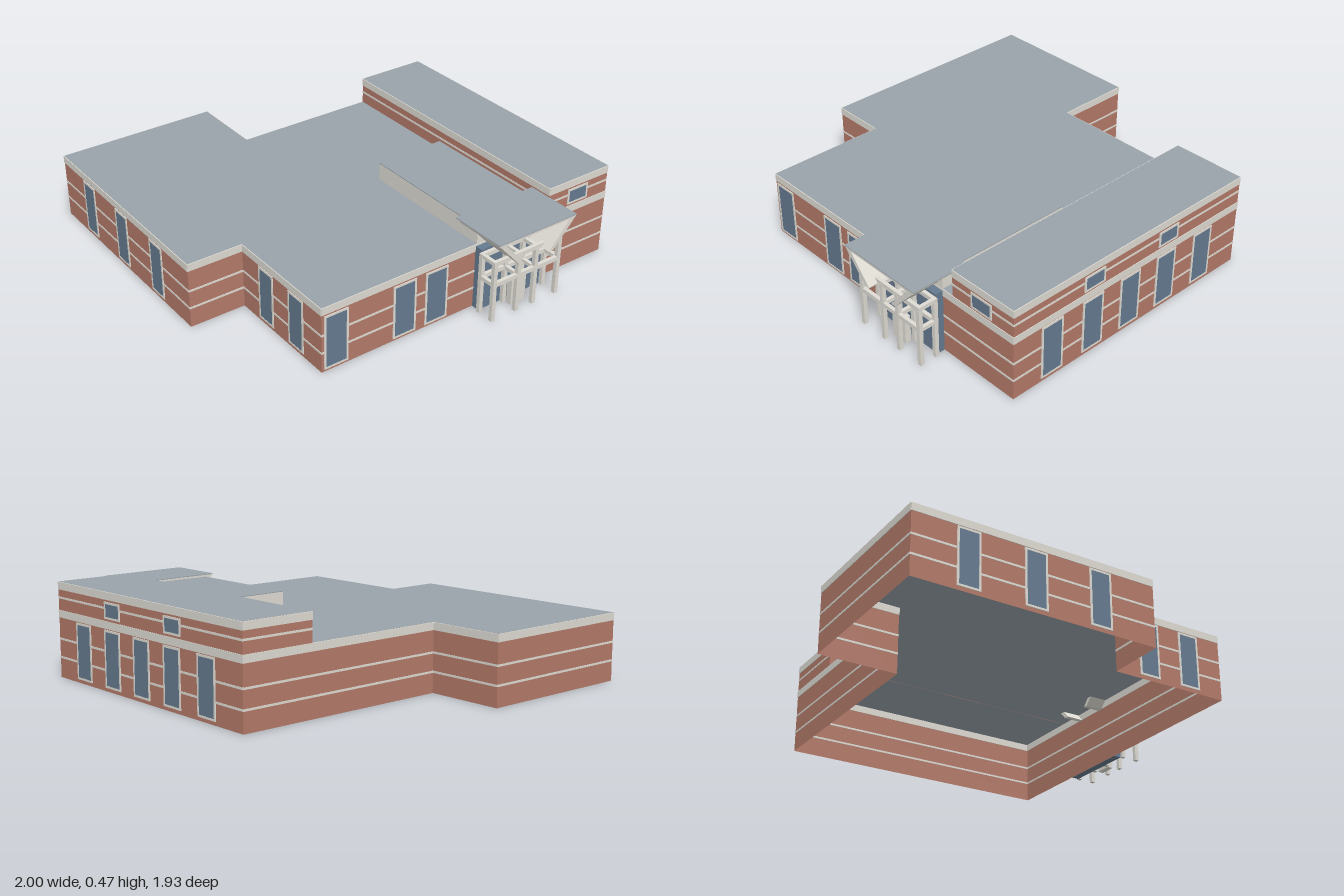
import * as THREE from 'three';

const mat = (name, color, side = THREE.FrontSide) => {
  const m = new THREE.MeshStandardMaterial({ color, side });
  m.name = name;
  return m;
};

export function createModel() {
  const brick = mat('brick', 0xb37a69, THREE.DoubleSide);
  const stone = mat('stone', 0xdedbd3);
  const roofing = mat('roofing', 0x99a3aa, THREE.DoubleSide);
  const glass = mat('glass', 0x657a8f);

  const model = new THREE.Group();
  model.name = 'building';

  const add = (parent, name, geometry, material, x = 0, y = 0, z = 0) => {
    const mesh = new THREE.Mesh(geometry, material);
    mesh.name = name;
    mesh.position.set(x, y, z);
    parent.add(mesh);
    return mesh;
  };
  // Box given by its limits on each axis
  const block = (parent, name, material, x0, x1, y0, y1, z0, z1) =>
    add(parent, name, new THREE.BoxGeometry(x1 - x0, y1 - y0, z1 - z0), material,
      (x0 + x1) / 2, (y0 + y1) / 2, (z0 + z1) / 2);

  // Framed window just proud of the local z = 0 plane, centred on x
  const addWindow = (parent, x, y0, y1, width) => {
    const w = width / 2, h = (y1 - y0) / 2, t = 0.01;
    const rect = (Type, a, b) => new Type([
      new THREE.Vector2(-a, -b), new THREE.Vector2(a, -b),
      new THREE.Vector2(a, b), new THREE.Vector2(-a, b)]);
    const frame = rect(THREE.Shape, w, h);
    frame.holes.push(rect(THREE.Path, w - t, h - t));
    const y = (y0 + y1) / 2;
    add(parent, 'windowFrame',
      new THREE.ExtrudeGeometry(frame, { depth: 0.004, bevelEnabled: false }), stone, x, y, 0.001);
    add(parent, 'windowPane', new THREE.BoxGeometry(width - t, 2 * h - t, 0.003), glass, x, y, 0.0025);
  };

  // One storey: open brick shell, stone courses, stone parapet and flat roof.
  // Returns one group per wall, with local x along the wall and local z outward.
  const storey = (name, outline, y0, y1, courses) => {
    const group = new THREE.Group();
    group.name = name;
    model.add(group);
    const parapet = y1 - 0.036;
    const walls = outline.map(([ax, az], i) => {
      const [bx, bz] = outline[(i + 1) % outline.length];
      const len = Math.hypot(bx - ax, bz - az);
      const wall = new THREE.Group();
      wall.name = 'wall';
      wall.position.set((ax + bx) / 2, 0, (az + bz) / 2);
      wall.rotation.y = Math.atan2(-(bz - az), bx - ax);
      group.add(wall);
      add(wall, 'brickwork', new THREE.PlaneGeometry(len, parapet - y0), brick, 0, (y0 + parapet) / 2, 0);
      block(wall, 'parapet', stone, -len / 2, len / 2, parapet, y1, -0.003, 0.003);
      for (const y of courses)
        block(wall, 'stoneCourse', stone, -len / 2, len / 2, y - 0.005, y + 0.005, -0.002, 0.002);
      return wall;
    });
    const shape = new THREE.Shape(outline.map(([x, z]) => new THREE.Vector2(x, -z)));
    add(group, 'roof', new THREE.ShapeGeometry(shape).rotateX(-Math.PI / 2), roofing, 0, y1 + 0.001, 0);
    return walls;
  };

  const [frontWall, , frontStepWall, rightWall, backWall] = storey('groundFloor', [
    [-0.997, 0.96], [0.2, 0.96], [0.2, 0.68], [0.807, 0.68],
    [0.807, -0.96], [-0.61, -0.96], [-0.61, 0.14], [-0.997, 0.14],
  ], 0, 0.33, [0.1, 0.19]);
  const [, upperRightWall, upperBackWall] = storey('upperFloor', [
    [-0.61, -0.59], [0.807, -0.59], [0.807, -0.96], [-0.61, -0.96],
  ], 0.33, 0.465, [0.39]);

  // Windows: positions are world x or z, converted to each wall's own axis
  for (const x of [-0.732, -0.41, -0.085]) addWindow(frontWall, x - frontWall.position.x, 0.018, 0.29, 0.112);
  for (const x of [0.39, 0.62]) addWindow(frontStepWall, x - frontStepWall.position.x, 0.018, 0.29, 0.112);
  for (const z of [0.605, 0.24, 0.063]) addWindow(rightWall, rightWall.position.z - z, 0.012, 0.286, 0.125);
  for (const x of [0.587, 0.345, 0.113, -0.119, -0.365])
    addWindow(backWall, backWall.position.x - x, 0.018, 0.29, 0.125);
  addWindow(upperRightWall, upperRightWall.position.z + 0.77, 0.341, 0.42, 0.125);
  for (const x of [0.34, -0.125]) addWindow(upperBackWall, upperBackWall.position.x - x, 0.341, 0.42, 0.125);

  // Low spine on the roof, leading to the entrance
  const spine = new THREE.Group();
  spine.name = 'roofSpine';
  model.add(spine);
  block(spine, 'spineWalls', stone, 0.098, 0.81, 0.332, 0.417, -0.53, -0.16);
  block(spine, 'spineRoof', roofing, 0.098, 0.81, 0.417, 0.421, -0.53, -0.16);

  // Entrance: glazed bay, two rows of posts, and beams
  const entrance = new THREE.Group();
  entrance.name = 'entrance';
  model.add(entrance);
  block(entrance, 'glazedBay', glass, 0.808, 0.848, 0, 0.322, -0.53, -0.155);
  const posts = [-0.151, -0.292, -0.394, -0.534];
  for (const x of [0.86, 0.944]) {
    for (const z of posts) block(entrance, 'post', stone, x - 0.01, x + 0.01, 0, 0.3, z - 0.01, z + 0.01);
    for (const y of [0.19, 0.302])
      block(entrance, 'longBeam', stone, x - 0.009, x + 0.009, y - 0.01, y + 0.011, -0.544, -0.141);
  }
  for (const z of posts)
    for (const y of [0.19, 0.302])
      block(entrance, 'crossBeam', stone, 0.86, 0.944, y - 0.009, y + 0.01, z - 0.009, z + 0.009);
  block(entrance, 'door', stone, 0.875, 0.905, 0, 0.14, -0.385, -0.3);

  // Canopy: flat top with a stone soffit, on two plates that slope inward
  const canopy = new THREE.Group();
  canopy.name = 'canopy';
  model.add(canopy);
  block(canopy, 'canopyRoof', roofing, 0.71, 1, 0.431, 0.435, -0.572, -0.117);
  block(canopy, 'canopySoffit', stone, 0.71, 1, 0.422, 0.431, -0.565, -0.124);
  const mid = -0.3445;
  for (const s of [-1, 1]) {
    const points = [[0.227, 0.431], [0.1, 0.292], [0.074, 0.292], [0.195, 0.431]];
    const plate = new THREE.Shape(points.map(([d, y]) => new THREE.Vector2(-(mid + s * d), y)));
    const geometry = new THREE.ExtrudeGeometry(plate, { depth: 0.29, bevelEnabled: false });
    geometry.rotateY(Math.PI / 2);
    add(canopy, 'slopingPlate', geometry, stone, 0.71, 0, 0);
  }
  return model;
}
